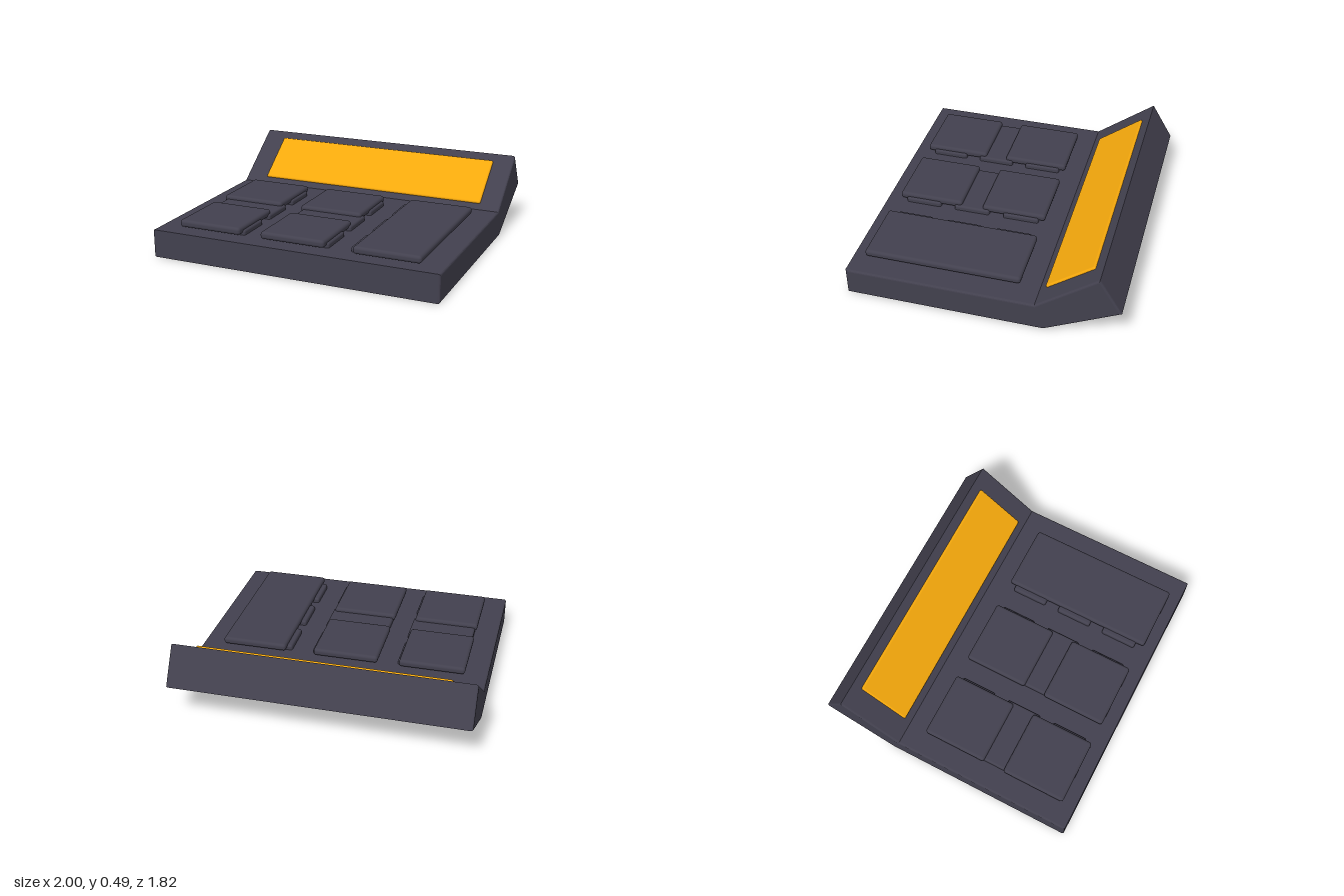
import * as THREE from 'three';
import { RoundedBoxGeometry } from 'three/addons/geometries/RoundedBoxGeometry.js';

export function createModel() {
  const model = new THREE.Group();
  model.name = 'controlPad';
  const dark = new THREE.MeshStandardMaterial({ color: 0x42404e });
  const amber = new THREE.MeshStandardMaterial({ color: 0xf5a80c });

  // Rounded slab given by its x, y and z ranges
  function slab(name, [x0, x1], [y0, y1], [z0, z1], radius, material) {
    const geometry = new RoundedBoxGeometry(x1 - x0, y1 - y0, z1 - z0, 3, radius);
    const mesh = new THREE.Mesh(geometry, material);
    mesh.position.set((x0 + x1) / 2, (y0 + y1) / 2, (z0 + z1) / 2);
    mesh.name = name;
    model.add(mesh);
    return mesh;
  }

  // Body: side profile (z, y) with a tilted rear display housing, swept along x
  const profile = [
    [0.905, 0], [0.905, 0.19], [-0.36, 0.19], [-0.765, 0.494], [-0.912, 0.25], [-0.42, 0],
  ].map(([z, y]) => new THREE.Vector2(z, y));
  const bevel = 0.013;
  const bodyGeometry = new THREE.ExtrudeGeometry(new THREE.Shape(profile), {
    depth: 2 - 2 * bevel,
    bevelThickness: bevel,
    bevelSize: bevel,
    bevelOffset: -bevel,
    bevelSegments: 3,
  });
  bodyGeometry.translate(0, 0, bevel - 1).rotateY(-Math.PI / 2);
  const body = new THREE.Mesh(bodyGeometry, dark);
  body.name = 'body';
  model.add(body);

  // Display panel lying on the sloped face
  const panel = slab('displayPanel', [-0.835, 0.855], [0.322, 0.352], [-0.749, -0.364], 0.012, amber);
  panel.rotation.x = Math.atan2(0.3, 0.4);

  // Lower keys: three columns by three rows, partly hidden by the raised keys
  for (const x of [-0.835, -0.235, 0.365]) {
    for (const z of [-0.185, 0.165, 0.515]) {
      slab('lowerKey', [x, x + 0.45], [0.174, 0.224], [z, z + 0.25], 0.015, dark);
    }
  }

  // Raised keys: two columns of square keys and one long key
  for (const x of [-0.85, -0.25]) {
    for (const z of [-0.23, 0.366]) {
      slab('raisedKey', [x, x + 0.45], [0.2, 0.25], [z, z + 0.447], 0.02, dark);
    }
  }
  slab('longKey', [0.4, 0.85], [0.2, 0.25], [-0.23, 0.825], 0.02, dark);

  return model;
}
